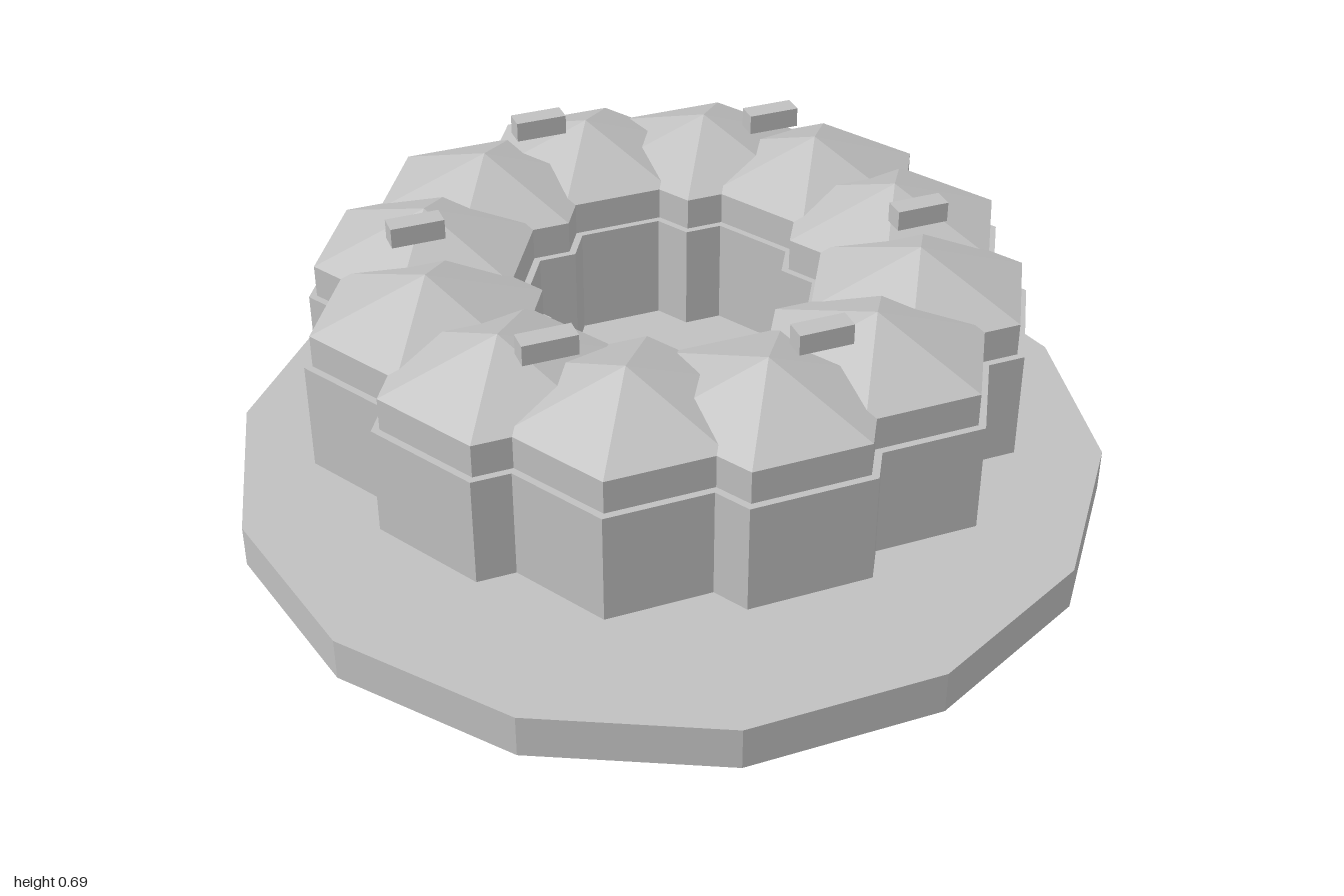
import * as THREE from 'three';

export function createModel() {
  const model = new THREE.Group();
  model.name = 'crystalRing';
  const stone = new THREE.MeshStandardMaterial({ color: 0xc0c0c0, flatShading: true });
  stone.name = 'grey stone';

  const add = (name, geometry, x, y, z, parent = model) => {
    const mesh = new THREE.Mesh(geometry, stone);
    mesh.name = name;
    mesh.position.set(x, y, z);
    parent.add(mesh);
    return mesh;
  };

  // Hexagonal solid from a bottom-to-top profile, with corners on the x axis
  const hexSolid = (profile) => new THREE.LatheGeometry(
    profile.map(([r, y]) => new THREE.Vector2(r, y)), 6, Math.PI / 2).toNonIndexed();

  // Fourteen-sided base plate
  add('basePlate', new THREE.CylinderGeometry(1, 1, 0.1, 14, 1, false, Math.PI / 2), 0, 0.05, 0);

  // Ring of twelve overlapping hexagonal blocks, each with a pointed cap
  const bodyGeometry = hexSolid([[0, 0.105], [0.275, 0.23], [0.275, 0.48], [0, 0.48]]);
  const capGeometry = hexSolid([[0, 0.47], [0.257, 0.47], [0.257, 0.555], [0, 0.65]]);
  for (let i = 0; i < 12; i++) {
    const a = i * Math.PI / 6;
    const block = new THREE.Group();
    block.name = 'ringBlock';
    block.position.set(0.55 * Math.cos(a), 0, 0.55 * Math.sin(a));
    model.add(block);
    add('blockBody', bodyGeometry, 0, 0, 0, block);
    add('blockCap', capGeometry, 0, 0, 0, block);
  }

  // Six small bars hovering around the top, all lying along x
  const barGeometry = new THREE.BoxGeometry(0.12, 0.046, 0.048);
  for (let i = 0; i < 6; i++) {
    const a = 0.3 + i * Math.PI / 3;
    add('topBar', barGeometry, 0.55 * Math.cos(a), 0.668, 0.55 * Math.sin(a));
  }

  return model;
}
